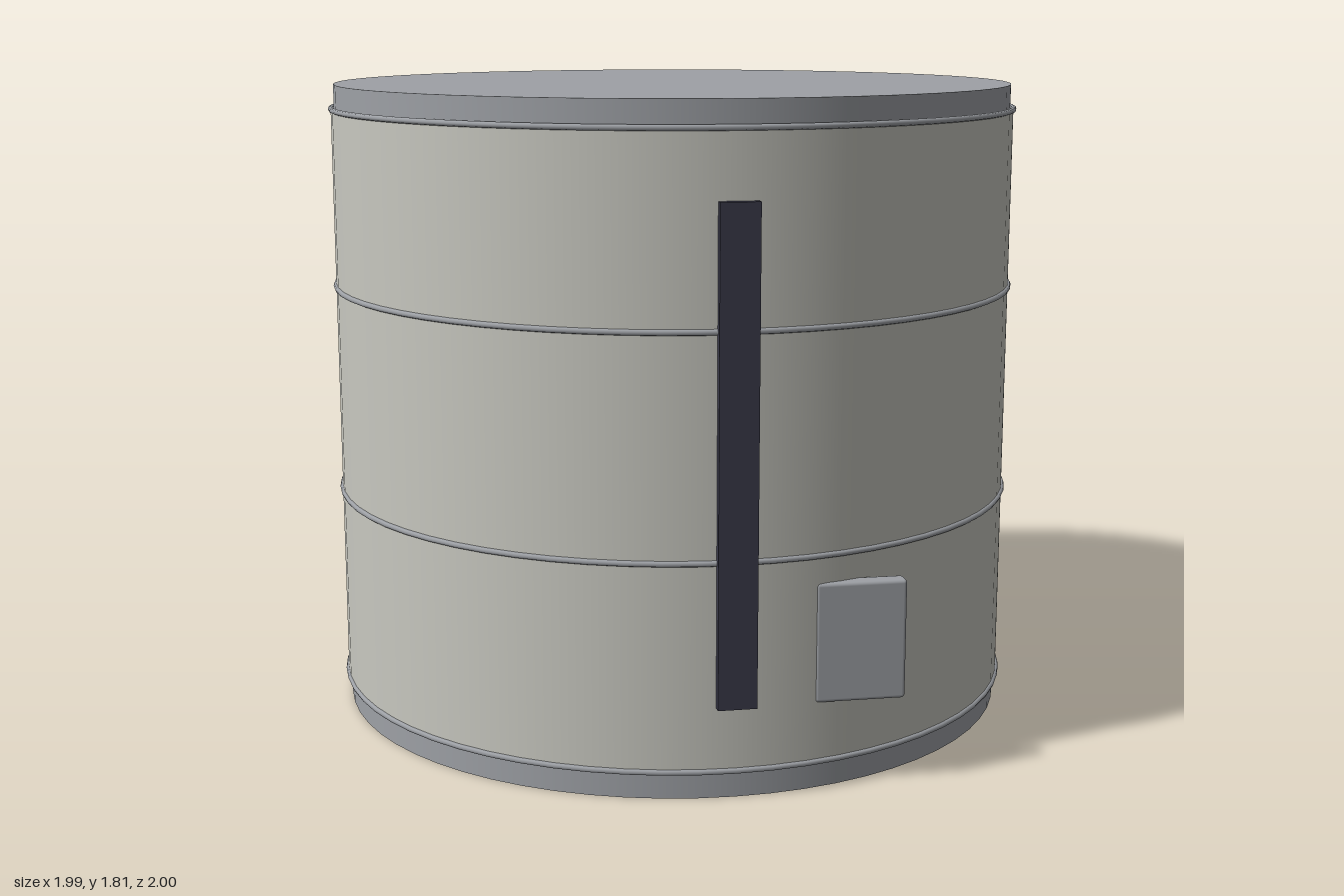
import * as THREE from 'three';
import { RoundedBoxGeometry } from 'three/addons/geometries/RoundedBoxGeometry.js';

export function createModel() {
  const model = new THREE.Group();
  const mat = (name, color) => {
    const m = new THREE.MeshStandardMaterial({ color });
    m.name = name;
    return m;
  };
  const shell = mat('warm light grey', 0xc8c8c0);
  const metal = mat('steel grey', 0x9ea1a6);
  const dark = mat('dark slate', 0x3a3a4a);

  const add = (name, geometry, material, x, y, z) => {
    const mesh = new THREE.Mesh(geometry, material);
    mesh.name = name;
    mesh.position.set(x, y, z);
    model.add(mesh);
    return mesh;
  };
  const SEG = 64, CZ = -0.007;
  // upright drum spanning y0..y1
  const drum = (name, r, y0, y1, material) =>
    add(name, new THREE.CylinderGeometry(r, r, y1 - y0, SEG), material, 0, (y0 + y1) / 2, CZ);

  // tank shell with slightly narrower end caps
  drum('tankBody', 0.985, 0.07, 1.738, shell);
  drum('baseCap', 0.976, 0, 0.08, metal);
  drum('lid', 0.976, 1.73, 1.81, metal);

  // hoops around the shell
  for (const y of [0.075, 0.637, 1.234, 1.74]) {
    const hoop = add('hoop', new THREE.TorusGeometry(0.985, 0.008, 8, SEG), metal, 0, y, CZ);
    hoop.rotation.x = Math.PI / 2;
  }

  // dark gauge strip and small access panel on the front
  add('gaugeStrip', new THREE.BoxGeometry(0.104, 1.31, 0.04), dark, 0, 0.905, 0.98);
  add('accessPanel', new RoundedBoxGeometry(0.245, 0.325, 0.048, 2, 0.01), metal, 0.338, 0.4, 0.931);

  return model;
}
